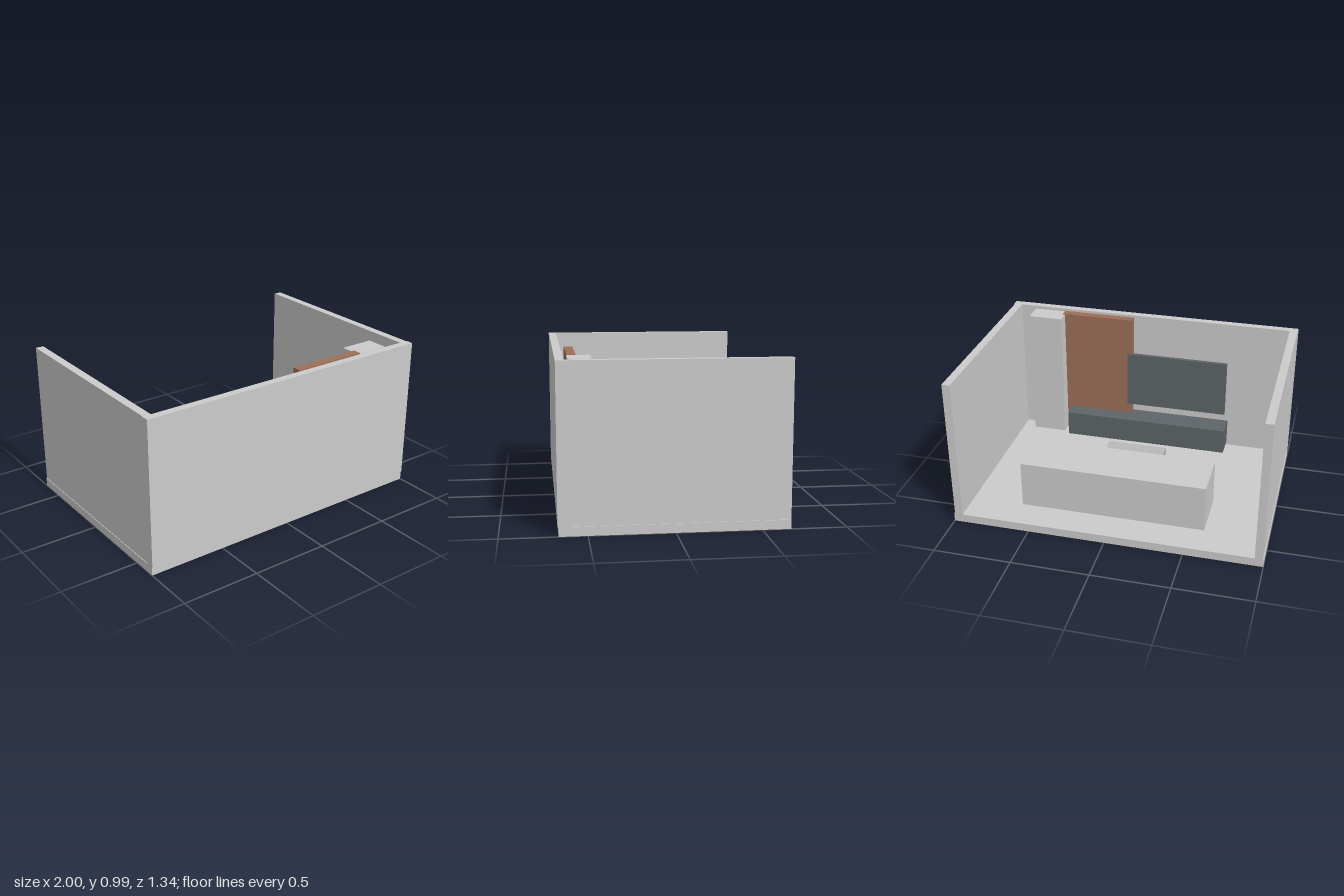
import * as THREE from 'three';

const paint = (color) => new THREE.MeshStandardMaterial({ color });

export function createModel() {
  const room = new THREE.Group();
  room.name = 'livingRoom';

  const grey = paint(0xcccccc);
  const stone = paint(0xb8b8b8);
  const slate = paint(0x5e6468);
  const wood = paint(0x9d6f57);

  // Box given by its extent along each axis
  function block(name, material, [x0, x1], [y0, y1], [z0, z1]) {
    const mesh = new THREE.Mesh(new THREE.BoxGeometry(x1 - x0, y1 - y0, z1 - z0), material);
    mesh.position.set((x0 + x1) / 2, (y0 + y1) / 2, (z0 + z1) / 2);
    mesh.name = name;
    room.add(mesh);
  }

  // Shell: floor slab, front wall and two slightly inset side walls
  const floorTop = 0.055;
  const wallHeight = [floorTop, 0.99];
  block('floor', grey, [-1, 1], [0, floorTop], [-0.67, 0.665]);
  block('frontWall', grey, [-1, 1], wallHeight, [0.62, 0.67]);
  block('leftWall', grey, [0.942, 0.994], wallHeight, [-0.67, 0.62]);
  block('rightWall', grey, [-0.996, -0.945], wallHeight, [-0.67, 0.62]);

  // Seating area
  block('sofa', grey, [-0.6, 0.6], [0.065, 0.373], [-0.475, -0.145]);
  block('coffeeTable', stone, [-0.2, 0.2], [0.08, 0.2], [-0.145, 0.225]);

  // Media wall
  block('mediaStand', slate, [-0.567, 0.565], [0.095, 0.267], [0.43, 0.59]);
  block('screen', slate, [-0.55, 0.147], [0.35, 0.738], [0.52, 0.545]);
  block('woodPanel', wood, [0.12, 0.615], [0.1, 0.985], [0.54, 0.595]);
  block('tallCabinet', grey, [0.6, 0.83], [0.1, 0.98], [0.455, 0.595]);

  return room;
}
